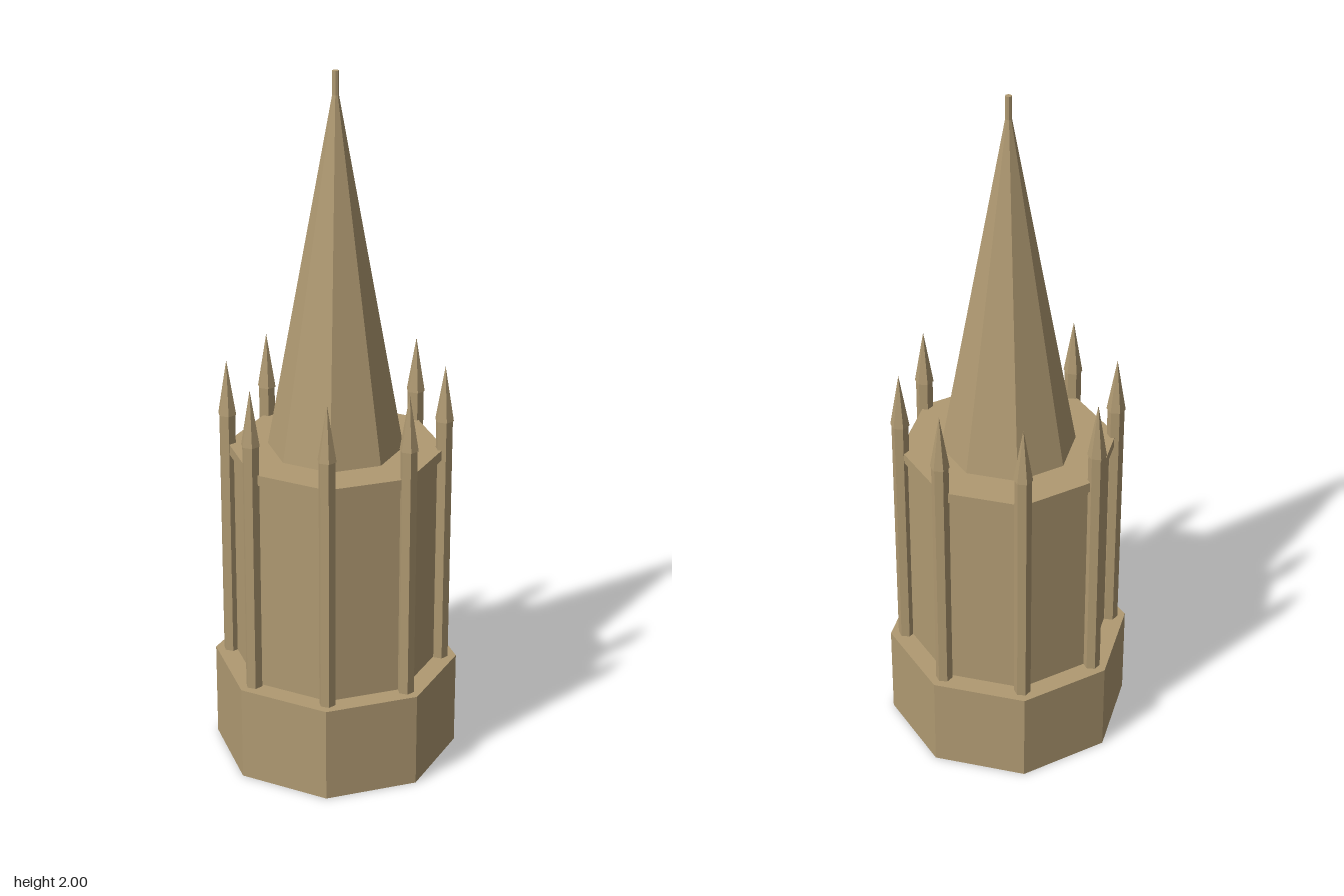
import * as THREE from 'three';

export function createModel() {
  const model = new THREE.Group();
  model.name = 'spireTower';
  const stone = new THREE.MeshStandardMaterial({ color: 0xb09a72, flatShading: true, side: THREE.DoubleSide });
  stone.name = 'sandstone';

  // Upright prism or cone standing between two heights
  function prism(name, rTop, rBottom, y0, y1, sides, open = false) {
    const geometry = new THREE.CylinderGeometry(rTop, rBottom, y1 - y0, sides, 1, open);
    geometry.translate(0, (y0 + y1) / 2, 0);
    const mesh = new THREE.Mesh(geometry, stone);
    mesh.name = name;
    return mesh;
  }

  // Hollow octagonal plinth, closed on top and open below
  model.add(prism('plinthWall', 0.35, 0.35, 0, 0.28, 8, true));
  const top = new THREE.CircleGeometry(0.35, 8);
  top.rotateX(-Math.PI / 2);
  top.translate(0, 0.28, 0);
  const plinthTop = new THREE.Mesh(top, stone);
  plinthTop.name = 'plinthTop';
  model.add(plinthTop);

  // Octagonal drum, cornice and spire
  model.add(prism('drum', 0.29, 0.29, 0.28, 0.91, 8, true));
  model.add(prism('cornice', 0.305, 0.305, 0.905, 0.935, 8));
  model.add(prism('spire', 0, 0.19, 0.935, 1.985, 8, true));
  model.add(prism('finial', 0.009, 0.009, 1.93, 2, 8));

  // Hexagonal corner shafts with pointed pinnacles, all facing the same way
  for (let i = 0; i < 8; i++) {
    const a = (i * Math.PI) / 4;
    const pinnacle = new THREE.Group();
    pinnacle.name = 'cornerPinnacle';
    pinnacle.add(prism('shaft', 0.024, 0.024, 0.28, 1.02, 6));
    pinnacle.add(prism('pinnacleTip', 0, 0.027, 1.02, 1.18, 6));
    pinnacle.position.set(0.303 * Math.sin(a), 0, 0.303 * Math.cos(a));
    pinnacle.rotation.y = Math.PI / 6;
    model.add(pinnacle);
  }
  return model;
}
